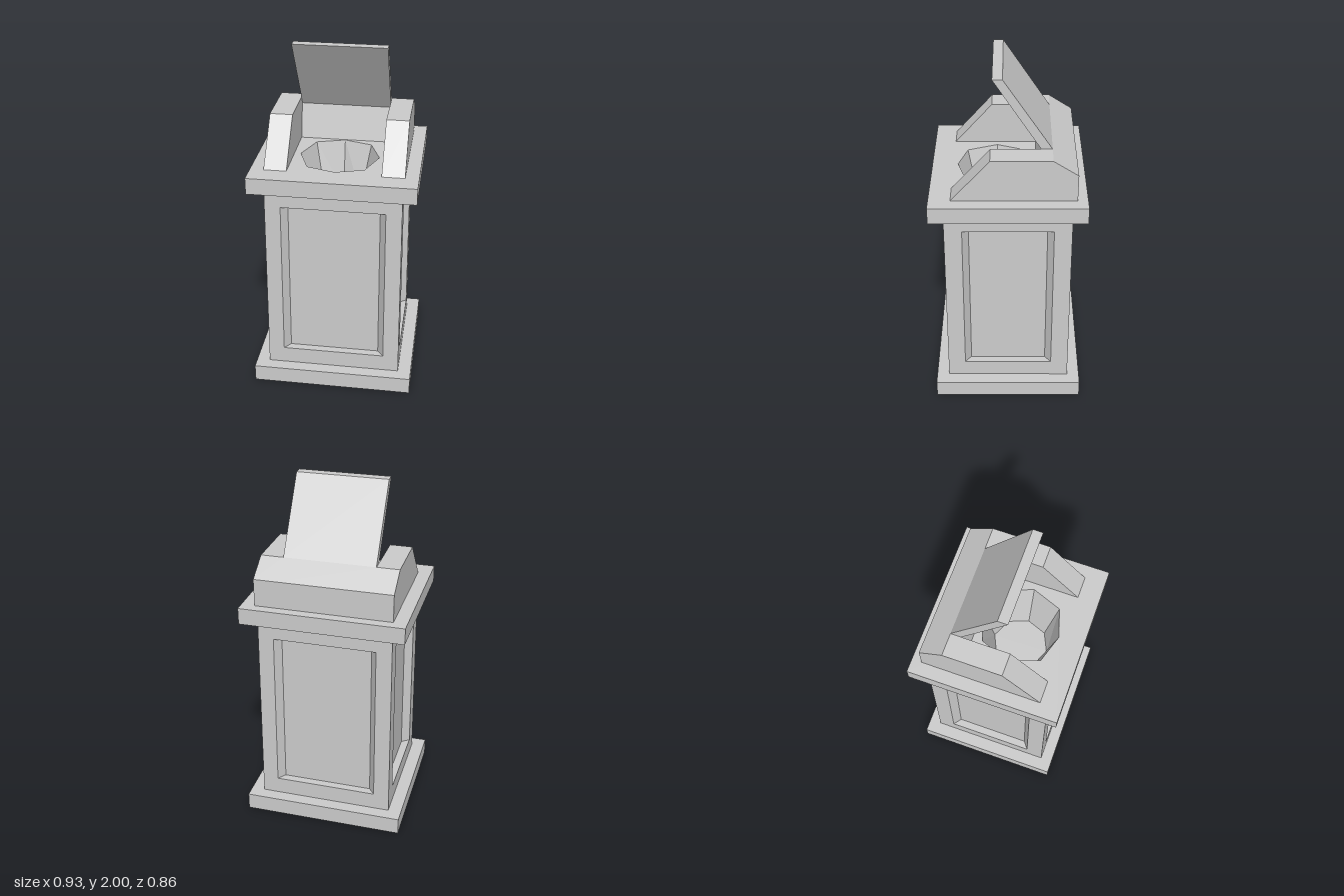
import * as THREE from 'three';

const material = new THREE.MeshStandardMaterial({ color: 0xcccccc, flatShading: true });

const toShape = (pts) => new THREE.Shape(pts.map(([a, b]) => new THREE.Vector2(a, b)));
const rect = (x, z) => [[-x, -z], [x, -z], [x, z], [-x, z]];

// Plan outline [x, z] raised from y0 to y1, with an optional hole
function prism(pts, y0, y1, hole) {
  const shape = toShape(pts);
  if (hole) shape.holes.push(toShape(hole));
  const g = new THREE.ExtrudeGeometry(shape, { depth: y1 - y0, bevelEnabled: false });
  return g.rotateX(Math.PI / 2).translate(0, y1, 0);
}

// Side profile [z, y] extruded across x, centred on cx
function profile(pts, width, cx = 0) {
  const g = new THREE.ExtrudeGeometry(toShape(pts), { depth: width, bevelEnabled: false });
  return g.rotateY(-Math.PI / 2).translate(cx + width / 2, 0, 0);
}

// The pedestal narrows very slightly towards the top
function taper(g) {
  const p = g.attributes.position;
  for (let i = 0; i < p.count; i++) {
    const f = 1.01 - 0.016 * (p.getY(i) - 0.1) / 1.16;
    p.setX(i, p.getX(i) * f);
    p.setZ(i, p.getZ(i) * f);
  }
  g.computeVertexNormals();
  return g;
}

// Eight-sided ring around the basin centre
const octagon = (r, diagX, diagZ, rz) => [
  [0, rz], [diagX, diagZ], [r, 0], [diagX, -diagZ],
  [0, -rz], [-diagX, -diagZ], [-r, 0], [-diagX, diagZ],
].map(([x, z]) => [x, z + 0.065]);

// Inward-facing funnel with a floor
function basin(top, bottom, y1, y0) {
  const v = [];
  const n = top.length;
  for (let i = 0; i < n; i++) {
    const j = (i + 1) % n;
    const a = [top[i][0], y1, top[i][1]], b = [top[j][0], y1, top[j][1]];
    const c = [bottom[i][0], y0, bottom[i][1]], d = [bottom[j][0], y0, bottom[j][1]];
    v.push(...a, ...b, ...c, ...b, ...d, ...c, ...c, ...d, 0, y0, 0.065);
  }
  const g = new THREE.BufferGeometry();
  g.setAttribute('position', new THREE.Float32BufferAttribute(v, 3));
  g.computeVertexNormals();
  return g;
}

export function createModel() {
  const model = new THREE.Group();
  const add = (name, geometry) => {
    const mesh = new THREE.Mesh(geometry, material);
    mesh.name = name;
    model.add(mesh);
  };

  const rim = octagon(0.224, 0.16, 0.17, 0.22);
  const drain = octagon(0.148, 0.107, 0.11, 0.16);

  // Plinth and pedestal with recessed panels
  add('plinth', prism(rect(0.465, 0.43), 0, 0.1));
  add('lowerRail', taper(prism(rect(0.385, 0.355), 0.1, 0.2)));
  add('panelCore', taper(prism(rect(0.34, 0.31), 0.2, 1.15, rim)));
  add('upperRail', taper(prism(rect(0.385, 0.355), 1.15, 1.26, rim)));
  for (const sx of [-1, 1]) {
    for (const sz of [-1, 1]) {
      const post = [[0.385, 0.355], [0.385, 0.255], [0.34, 0.22], [0.26, 0.31], [0.295, 0.355]]
        .map(([x, z]) => [x * sx, z * sz]);
      add('cornerPost', taper(prism(post, 0.2, 1.15)));
    }
  }

  // Top slab with the sunken basin
  add('topSlab', prism(rect(0.465, 0.43), 1.26, 1.355, rim));
  add('basin', basin(rim, drain, 1.355, 1.055));

  // Hood: two cheeks and the back wall between them
  const cheek = [[0.31, 1.355], [0.095, 1.6], [-0.237, 1.6], [-0.373, 1.512], [-0.373, 1.355]];
  for (const s of [-1, 1]) add('cheek', profile(cheek, 0.128, s * 0.325));
  add('backWall', profile(
    [[-0.16, 1.355], [-0.205, 1.555], [-0.237, 1.6], [-0.373, 1.512], [-0.373, 1.355]], 0.522));

  // Raised lid leaning forward
  add('lid', profile([[0.083, 2], [0.028, 2], [-0.237, 1.6], [-0.205, 1.555]], 0.52));

  return model;
}
